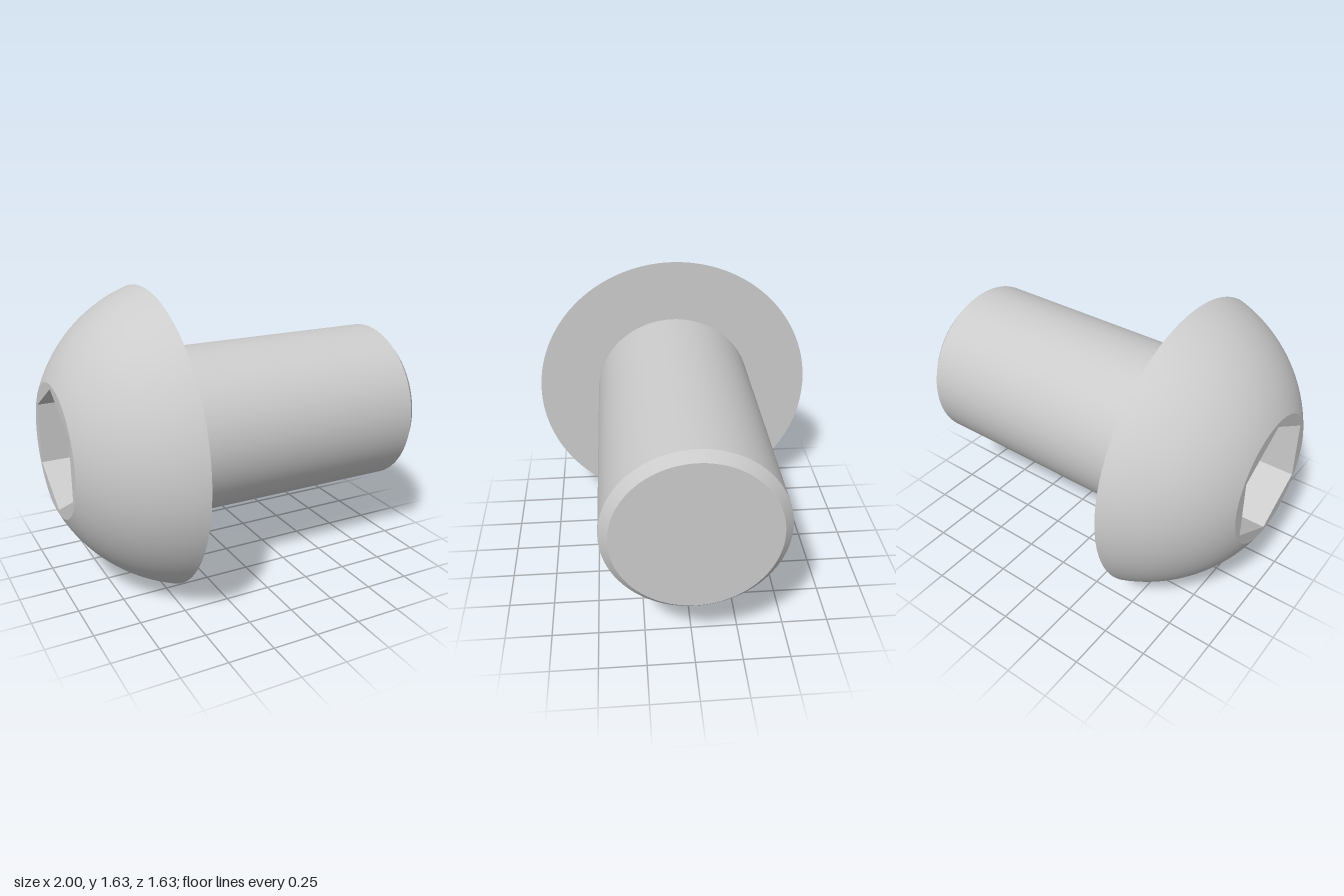
import * as THREE from 'three';

const AXIS_Y = 0.815;
const HEAD_R = 0.815, FACE_R = 0.36, SHANK_R = 0.463, TIP_R = 0.418;
const FACE_X = -1, RIM_X = -0.49, CHAMFER_X = 0.955, TIP_X = 1;
const HEX_R = 0.336, HEX_DEPTH = 0.303;
const SEGMENTS = 128;

const material = new THREE.MeshStandardMaterial({ color: 0xcccccc });

function add(group, name, geometry, x = 0) {
  const mesh = new THREE.Mesh(geometry, material);
  mesh.name = name;
  mesh.position.x = x;
  group.add(mesh);
}

// Revolves [x, radius] points around the x axis; x runs from head to tip.
function revolve(points) {
  const profile = points.map(([x, r]) => new THREE.Vector2(r, x));
  return new THREE.LatheGeometry(profile, SEGMENTS).rotateZ(-Math.PI / 2);
}

// Circular arc of the dome, centred on the axis, from face edge to rim.
function domeProfile(steps) {
  const c = (RIM_X ** 2 + HEAD_R ** 2 - FACE_X ** 2 - FACE_R ** 2) / (2 * (RIM_X - FACE_X));
  const radius = Math.hypot(RIM_X - c, HEAD_R);
  const a0 = Math.atan2(FACE_R, FACE_X - c);
  const a1 = Math.atan2(HEAD_R, RIM_X - c);
  return Array.from({ length: steps + 1 }, (_, i) => {
    const a = a0 + (a1 - a0) * i / steps;
    return [c + radius * Math.cos(a), radius * Math.sin(a)];
  });
}

export function createModel() {
  const model = new THREE.Group();
  model.name = 'buttonHeadScrew';

  // Head: dome, flat underside, and narrow face around the socket
  const head = new THREE.Group();
  head.name = 'head';
  add(head, 'dome', revolve(domeProfile(24)));
  add(head, 'headUnderside', revolve([[RIM_X, HEAD_R], [RIM_X, SHANK_R]]));

  const face = new THREE.Shape().absarc(0, 0, FACE_R, 0, Math.PI * 2);
  const hexagon = Array.from({ length: 6 }, (_, i) => {
    const a = Math.PI / 2 - i * Math.PI / 3;
    return new THREE.Vector2(HEX_R * Math.cos(a), HEX_R * Math.sin(a));
  });
  face.holes.push(new THREE.Path(hexagon));
  add(head, 'headFace', new THREE.ShapeGeometry(face, SEGMENTS / 2).rotateY(-Math.PI / 2), FACE_X);

  // Hex socket: inward-facing walls and a flat floor
  const tube = new THREE.CylinderGeometry(HEX_R, HEX_R, HEX_DEPTH, 6, 1, true, Math.PI / 6);
  tube.index.array.reverse();
  const walls = tube.toNonIndexed();
  walls.computeVertexNormals();
  add(head, 'socketWalls', walls.rotateZ(-Math.PI / 2), FACE_X + HEX_DEPTH / 2);
  const floor = new THREE.CircleGeometry(HEX_R, 6, Math.PI / 2).rotateY(-Math.PI / 2);
  add(head, 'socketFloor', floor, FACE_X + HEX_DEPTH);

  // Shank with chamfered tip
  const shank = new THREE.Group();
  shank.name = 'shank';
  add(shank, 'shankBody', revolve([[RIM_X, SHANK_R], [CHAMFER_X, SHANK_R]]));
  add(shank, 'tipChamfer', revolve([[CHAMFER_X, SHANK_R], [TIP_X, TIP_R]]));
  add(shank, 'tipFace', new THREE.CircleGeometry(TIP_R, SEGMENTS).rotateY(Math.PI / 2), TIP_X);

  head.position.y = shank.position.y = AXIS_Y;
  model.add(head, shank);
  return model;
}
